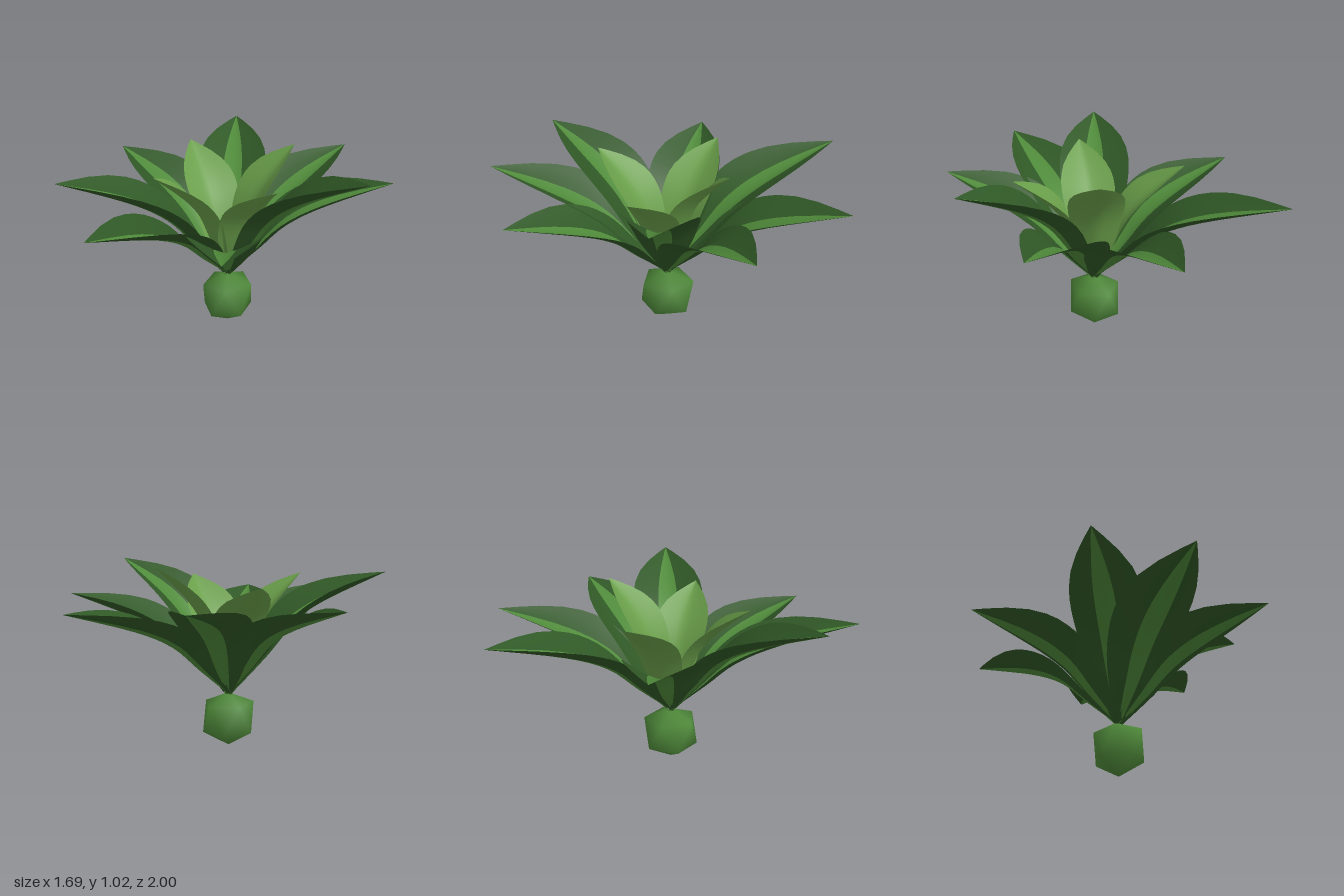
import * as THREE from 'three';
import { mergeVertices } from 'three/addons/utils/BufferGeometryUtils.js';

const ORIGIN = new THREE.Vector3(0.01, 0.3, -0.02);
// Rib course as fractions of reach and rise: straight climb, then a bend outwards
const RIB = [[0, 0], [0.2, 0.3], [0.37, 0.565], [0.6, 0.765], [1, 1]];
const material = (color, side = THREE.DoubleSide) =>
  new THREE.MeshStandardMaterial({ color, side, roughness: 0.9 });

// Lengthwise band of a channelled leaf; u runs across it from -1 to 1.
function leafBand(reach, rise, halfWidth, depth, u0, u1, columns) {
  const rows = 16;
  const rib = new THREE.SplineCurve(RIB.map(([r, h]) => new THREE.Vector2(r * reach, h * rise)));
  const positions = [], indices = [];
  for (let i = 0; i <= rows; i++) {
    const t = i / rows;
    const p = rib.getPoint(t), dir = rib.getTangent(t);
    const swell = Math.max(0, Math.sin(Math.PI * p.x / reach));
    const width = halfWidth * swell + 0.02 * (1 - t);
    for (let j = 0; j <= columns; j++) {
      const u = u0 + (u1 - u0) * j / columns;
      const lift = depth * swell * Math.pow(Math.abs(u), 1.3);
      positions.push(p.x - dir.y * lift, p.y + dir.x * lift, width * u);
    }
  }
  const n = columns + 1;
  for (let i = 0; i < rows; i++) {
    for (let j = 0; j < columns; j++) {
      const a = i * n + j, b = a + 1, c = a + n, d = c + 1;
      indices.push(a, b, c, b, d, c);
    }
  }
  const g = new THREE.BufferGeometry();
  g.setAttribute('position', new THREE.Float32BufferAttribute(positions, 3));
  g.setIndex(indices);
  g.computeVertexNormals();
  return g;
}

// Leaf pointing from the crown to a tip position.
function leaf(name, [x, y, z], halfWidth, depth, bands) {
  const group = new THREE.Group();
  group.name = name;
  const dx = x - ORIGIN.x, dz = z - ORIGIN.z;
  for (const [part, u0, u1, columns, mat] of bands) {
    const mesh = new THREE.Mesh(
      leafBand(Math.hypot(dx, dz), y - ORIGIN.y, halfWidth, depth, u0, u1, columns), mat);
    mesh.name = part;
    group.add(mesh);
  }
  group.position.copy(ORIGIN);
  group.rotation.y = Math.atan2(-dz, dx);
  return group;
}

// Bulb: faceted outline with soft shading, standing on one corner, with raised shoulders.
function bulbGeometry() {
  let g = new THREE.IcosahedronGeometry(0.155, 0);
  g.deleteAttribute('normal');
  g.deleteAttribute('uv');
  g = mergeVertices(g);
  g.rotateX(-Math.atan((1 + Math.sqrt(5)) / 2));
  g.rotateY(Math.PI);
  g.scale(1, 1, 1.1);
  const pos = g.attributes.position;
  for (let i = 0; i < pos.count; i++) {
    const y = pos.getY(i);
    if (y > 0 && y < 0.12) pos.setY(i, 0.095);
  }
  g.computeVertexNormals();
  return g;
}

export function createModel() {
  const model = new THREE.Group();
  model.name = 'rosettePlant';

  const bulb = new THREE.Mesh(bulbGeometry(), material(0x4f8a3a, THREE.FrontSide));
  bulb.name = 'bulb';
  bulb.position.set(0.01, 0.155, -0.02);
  model.add(bulb);

  // Outer leaves: dark blades with a lighter centre stripe
  const dark = material(0x305826), stripe = material(0x4f8a3a);
  const outerBands = [
    ['bladeSide', -1, -0.28, 4, dark],
    ['centreStripe', -0.28, 0.28, 2, stripe],
    ['bladeSide', 0.28, 1, 4, dark],
  ];
  const outerTips = [
    [0.18, 0.85, -1.0], [0.74, 0.86, -0.55], [0.845, 1.02, -0.07], [0.54, 0.81, 0.73],
    [-0.05, 0.86, 1.0], [-0.5, 0.97, 0.76], [-0.85, 0.87, -0.1], [-0.58, 0.92, -0.9],
  ];
  for (const tip of outerTips) model.add(leaf('outerLeaf', tip, 0.195, 0.09, outerBands));

  // Inner leaves: smaller, steeper and paler
  const innerBands = [['blade', -1, 1, 8, material(0x6a9f4a)]];
  const innerTips = [
    [0.21, 1.025, -0.37], [0.43, 0.94, 0.12], [-0.16, 0.97, 0.4], [-0.43, 0.96, -0.24],
  ];
  for (const tip of innerTips) model.add(leaf('innerLeaf', tip, 0.145, 0.05, innerBands));

  return model;
}
